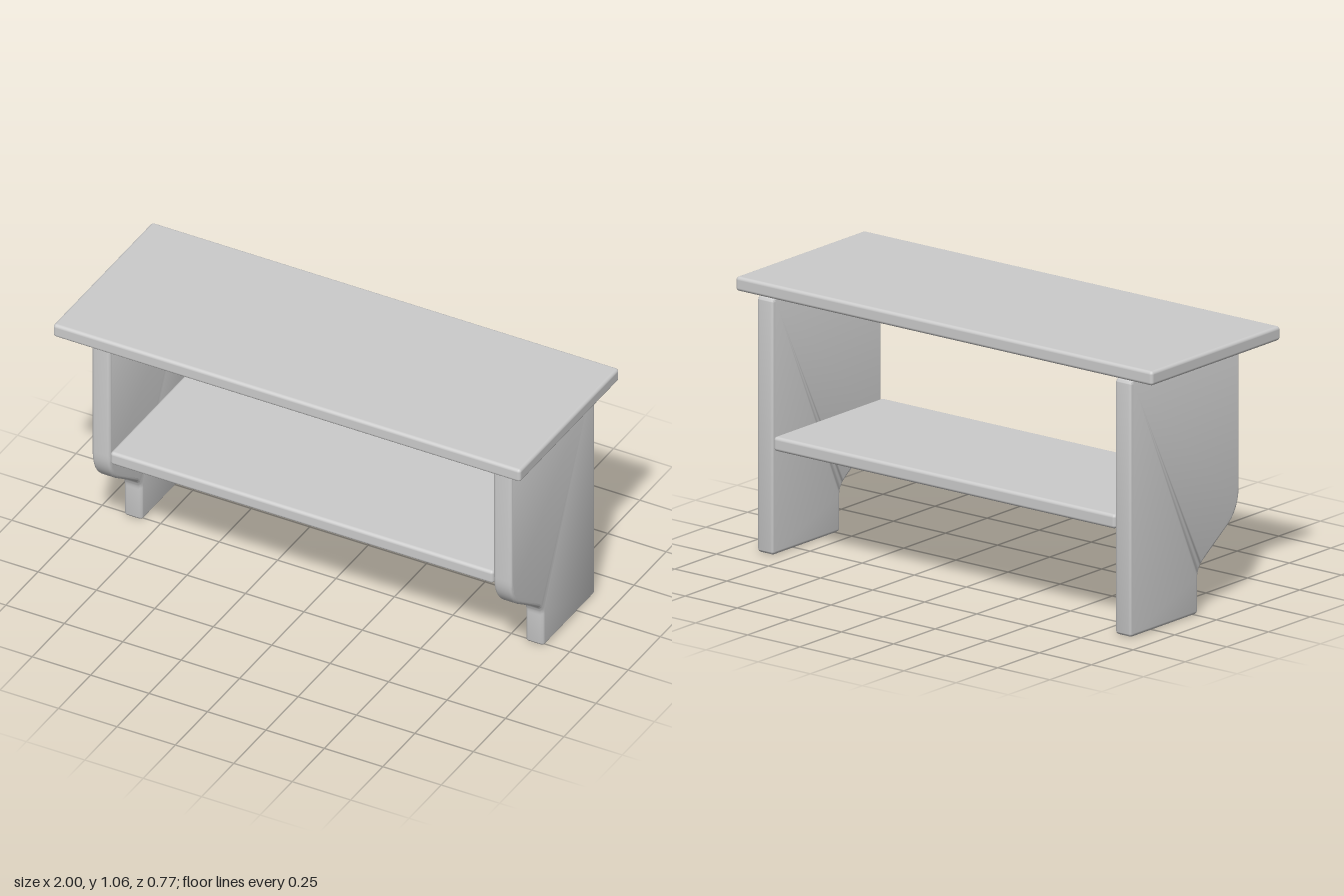
import * as THREE from 'three';
import { RoundedBoxGeometry } from 'three/addons/geometries/RoundedBoxGeometry.js';
import { toCreasedNormals } from 'three/addons/utils/BufferGeometryUtils.js';

const material = new THREE.MeshStandardMaterial({ color: 0xcccccc });
const EDGE = 0.013; // softened edge radius
const BACK = -0.385, FRONT = 0.27, PANEL_TOP = 1.004;

function board(name, width, y0, y1, z0, z1) {
  const geometry = new RoundedBoxGeometry(width, y1 - y0, z1 - z0, 4, EDGE);
  const mesh = new THREE.Mesh(geometry, material);
  mesh.name = name;
  mesh.position.set(0, (y0 + y1) / 2, (z0 + z1) / 2);
  return mesh;
}

// Side panel outline, drawn with shape x = model z
function panelGeometry(thickness) {
  const r = 0.018, foot = 0.02;
  const s = new THREE.Shape();
  s.moveTo(BACK + r, 0);
  s.lineTo(foot - r, 0);
  s.quadraticCurveTo(foot, 0, foot, r);
  // stepped foot sweeping out to the front edge
  s.lineTo(foot, 0.14);
  s.quadraticCurveTo(foot, 0.18, 0.06, 0.205);
  s.lineTo(0.2, 0.302);
  s.quadraticCurveTo(FRONT, 0.352, FRONT, 0.445);
  s.lineTo(FRONT, PANEL_TOP - r);
  s.quadraticCurveTo(FRONT, PANEL_TOP, FRONT - r, PANEL_TOP);
  s.lineTo(BACK + r, PANEL_TOP);
  s.quadraticCurveTo(BACK, PANEL_TOP, BACK, PANEL_TOP - r);
  s.lineTo(BACK, r);
  s.quadraticCurveTo(BACK, 0, BACK + r, 0);

  const depth = thickness - 2 * EDGE;
  const geometry = new THREE.ExtrudeGeometry(s, {
    depth, curveSegments: 10, bevelEnabled: true, bevelSegments: 4,
    bevelSize: EDGE, bevelThickness: EDGE, bevelOffset: -EDGE,
  });
  geometry.translate(0, 0, -depth / 2);
  geometry.rotateY(-Math.PI / 2);
  return toCreasedNormals(geometry, 0.6);
}

export function createModel() {
  const bench = new THREE.Group();
  bench.name = 'bench';

  bench.add(board('top', 2, 1.004, 1.06, -0.387, 0.387));
  bench.add(board('shelf', 1.64, 0.41, 0.466, BACK, FRONT));

  // Matching side panels
  const geometry = panelGeometry(0.078);
  for (const [name, side] of [['leftPanel', 1], ['rightPanel', -1]]) {
    const panel = new THREE.Mesh(geometry, material);
    panel.name = name;
    panel.position.x = side * 0.859;
    bench.add(panel);
  }
  return bench;
}
